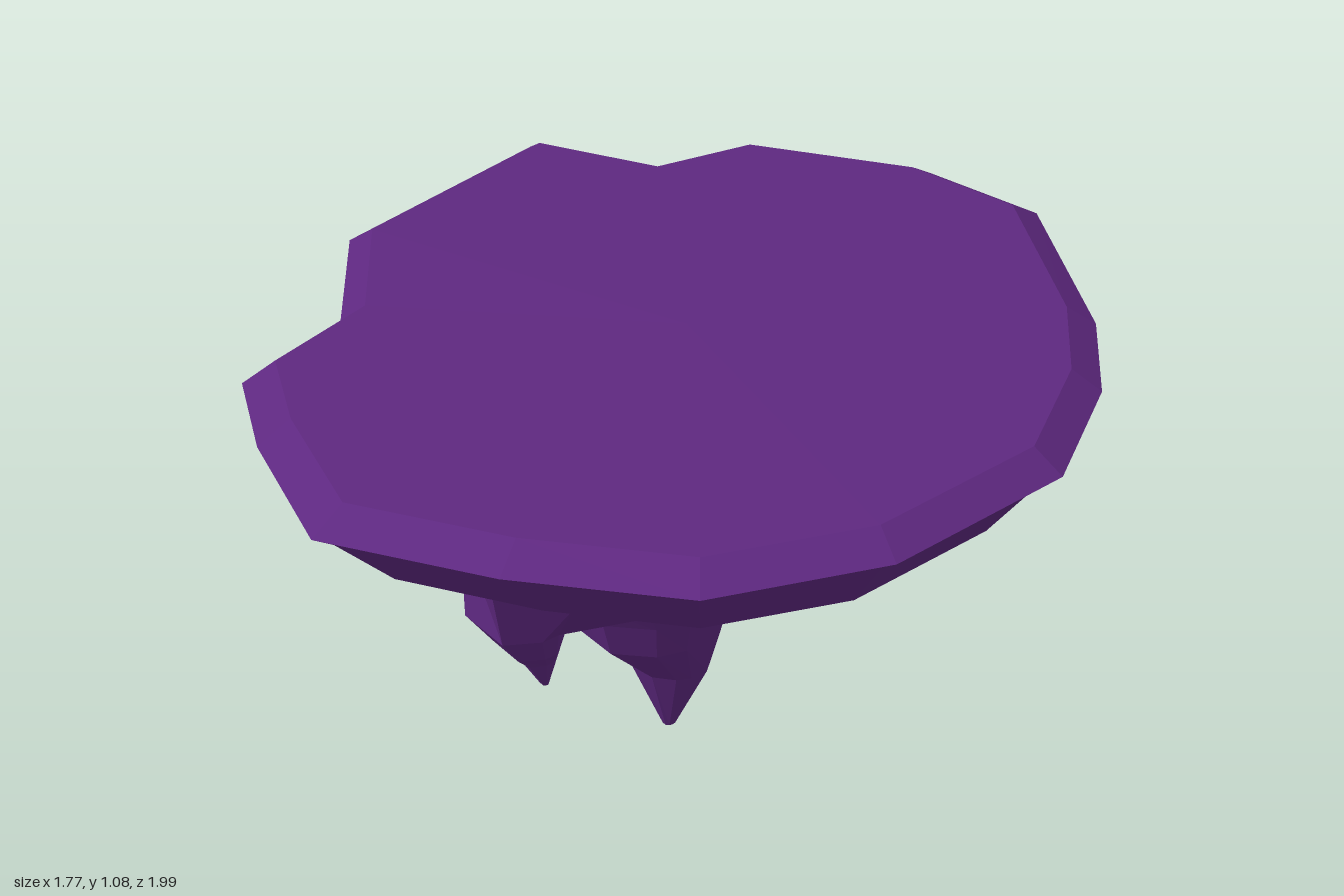
import * as THREE from 'three';

// Plan outline of the rim, clockwise seen from above: [x, z]
const OUTLINE = [
  [-0.89, -0.10], [-0.77, -0.71], [-0.44, -0.72], [-0.29, -0.94],
  [0.13, -1.0], [0.43, -0.91], [0.73, -0.47], [0.84, -0.20],
  [0.885, 0.15], [0.72, 0.58], [0.45, 0.85], [0.09, 0.95],
  [-0.29, 0.99], [-0.57, 0.75], [-0.74, 0.55], [-0.70, 0.24],
];

// Outline scaled to a given height
const ringAt = (y, sx, sz, ox = 0, oz = 0) =>
  OUTLINE.map(([x, z]) => [x * sx + ox, y, z * sz + oz]);

// Faceted skin through rings listed from top to bottom, with optional fan caps
function loft(rings, { top, bottom } = {}) {
  const pos = [];
  const n = rings[0].length;
  const tri = (...pts) => pts.forEach((p) => pos.push(...p));
  for (let r = 0; r < rings.length - 1; r++) {
    const U = rings[r], L = rings[r + 1];
    for (let i = 0; i < n; i++) {
      const j = (i + 1) % n;
      tri(U[i], U[j], L[i]);
      tri(U[j], L[j], L[i]);
    }
  }
  const last = rings[rings.length - 1];
  for (let i = 0; i < n; i++) {
    const j = (i + 1) % n;
    if (top) tri(top, rings[0][j], rings[0][i]);
    if (bottom) tri(bottom, last[i], last[j]);
  }
  const geo = new THREE.BufferGeometry();
  geo.setAttribute('position', new THREE.Float32BufferAttribute(pos, 3));
  geo.computeVertexNormals();
  return geo;
}

// Hanging spike: starts at a polygon of the slab's underside, then follows
// elliptical sections [y, xMin, xMax, zMin, zMax] down to a tip
function spike(topRing, sections, tip) {
  const [, x0, x1, z0, z1] = sections[0];
  const cx = (x0 + x1) / 2, cz = (z0 + z1) / 2;
  const angles = topRing.map(([x, , z]) => Math.atan2(z - cz, x - cx));
  const rings = sections.map(([y, a, b, c, d]) =>
    angles.map((t) => [
      (a + b) / 2 + ((b - a) / 2) * 1.04 * Math.cos(t),
      y,
      (c + d) / 2 + ((d - c) / 2) * 1.04 * Math.sin(t),
    ]));
  return loft([topRing, ...rings], { bottom: tip });
}

export function createModel() {
  const group = new THREE.Group();
  const rock = new THREE.MeshStandardMaterial({ color: 0x5e2880, flatShading: true });
  const add = (name, geo) => {
    const mesh = new THREE.Mesh(geo, rock);
    mesh.name = name;
    group.add(mesh);
  };

  // Flat-topped slab with bevelled rim and tapering underside
  const base = ringAt(0.68, 0.485, 0.55, -0.04, -0.01);
  add('islandSlab', loft([
    ringAt(1.075, 0.925, 0.92),
    ringAt(1.03, 1, 1),
    ringAt(0.995, 0.945, 0.95),
    ringAt(0.845, 0.82, 0.805),
    base,
  ], { top: [0, 1.08, 0] }));

  // Valley points between neighbouring spikes
  const backValley = [-0.02, 0.52, -0.22];
  const frontValley = [-0.12, 0.52, 0.24];
  const pick = (...ids) => ids.map((i) => base[i]);

  add('mainSpike', spike(
    [...pick(0, 1, 2), backValley, ...pick(8, 9, 10), frontValley, ...pick(14, 15)],
    [
      [0.50, -0.35, 0.12, -0.28, 0.25],
      [0.42, -0.29, 0.10, -0.27, 0.20],
      [0.32, -0.27, 0.07, -0.26, 0.16],
      [0.19, -0.16, 0.03, -0.14, 0.04],
      [0.01, -0.085, -0.055, -0.07, -0.03],
    ], [-0.075, 0, -0.045]));

  add('backSpike', spike(
    [...pick(2, 3, 4, 5, 6, 7, 8), backValley],
    [
      [0.50, -0.10, 0.20, -0.52, -0.21],
      [0.38, -0.04, 0.14, -0.47, -0.28],
      [0.28, 0.01, 0.115, -0.41, -0.30],
      [0.195, 0.05, 0.075, -0.365, -0.335],
    ], [0.06, 0.185, -0.35]));

  add('frontSpike', spike(
    [...pick(10, 11, 12, 13, 14), frontValley],
    [
      [0.50, -0.33, -0.11, 0.24, 0.47],
      [0.43, -0.28, -0.13, 0.26, 0.42],
      [0.39, -0.24, -0.15, 0.27, 0.38],
      [0.305, -0.20, -0.18, 0.30, 0.32],
    ], [-0.19, 0.30, 0.31]));

  return group;
}
